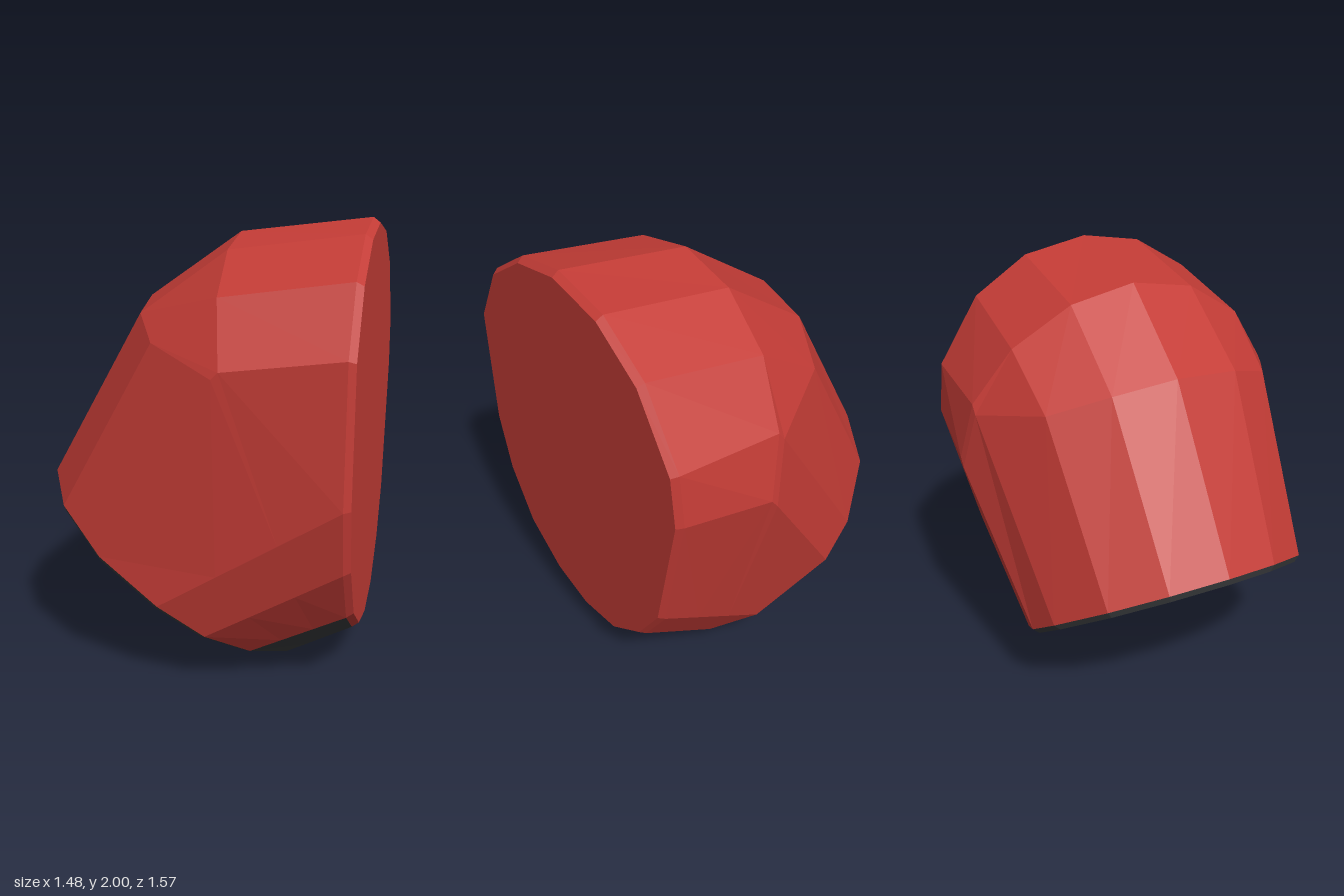
import * as THREE from 'three';

const V = (x, y, z) => new THREE.Vector3(x, y, z);
const N = 16;

// Rim outlines as [z, y], starting at the top and running over +z.
const SIDE_RIM = [
  [0.05, 2.0], [0.34, 1.945], [0.6, 1.78], [0.77, 1.5], [0.78, 0.9], [0.71, 0.61], [0.55, 0.355], [0.31, 0.2],
  [0.06, 0.145], [-0.2, 0.19], [-0.43, 0.355], [-0.59, 0.59], [-0.745, 1.23], [-0.72, 1.47], [-0.52, 1.78], [-0.26, 1.945],
];
const BASE_RIM = [
  [0.04, 0.86], [0.3, 0.83], [0.53, 0.74], [0.69, 0.58], [0.72, 0.39], [0.67, 0.25], [0.52, 0.13], [0.31, 0.04],
  [0.05, 0.0], [-0.2, 0.03], [-0.41, 0.1], [-0.56, 0.22], [-0.66, 0.46], [-0.62, 0.58], [-0.46, 0.74], [-0.23, 0.83],
];
// Outer bend: per rim index, the upper and lower knee points.
const KNEES = {
  0: [V(0.12, 1.93, 0.02), V(-0.31, 1.63, 0.01)],
  1: [V(0.13, 1.87, 0.32), V(-0.26, 1.59, 0.33)],
  2: [V(0.15, 1.7, 0.58), V(-0.14, 1.5, 0.56)],
  3: [V(0.2, 1.43, 0.76), V(0.17, 1.4, 0.76)],
  12: [V(0.3, 1.17, -0.785), V(0.27, 1.13, -0.785)],
  13: [V(0.23, 1.45, -0.73), V(0.2, 1.41, -0.73)],
  14: [V(0.17, 1.7, -0.55), V(-0.14, 1.5, -0.53)],
  15: [V(0.13, 1.87, -0.28), V(-0.27, 1.59, -0.28)],
};

// Shrinks a rim about its centre and pushes it outward to make a bevel.
const inset = (ring, centre, scale, push) =>
  ring.map((p) => p.clone().sub(centre).multiplyScalar(scale).add(centre).add(push));

// Adds the facets between two rings for rim segments from..to.
function strip(out, a, b, from = 0, to = N) {
  for (let i = from; i < to; i++) {
    const j = (i + 1) % N;
    out.push(a[i], b[i], a[j], a[j], b[i], b[j]);
  }
}

function cap(out, ring, centre, flip) {
  for (let i = 0; i < N; i++) {
    const j = (i + 1) % N;
    out.push(centre, ring[flip ? j : i], ring[flip ? i : j]);
  }
}

function facetMesh(name, points, color) {
  const geometry = new THREE.BufferGeometry().setFromPoints(points);
  geometry.computeVertexNormals();
  const mesh = new THREE.Mesh(geometry, new THREE.MeshStandardMaterial({ color, flatShading: true }));
  mesh.name = name;
  return mesh;
}

export function createModel() {
  const side = SIDE_RIM.map(([z, y]) => V(0.71, y, z));
  const base = BASE_RIM.map(([z, y]) => V(-0.74 + (0.86 - y) * 1.407, y, z));
  const knee = (k) => side.map((p, i) => (KNEES[i] ? KNEES[i][k] : p.clone().lerp(base[i], (k + 1) / 3)));
  const upper = knee(0);
  const lower = knee(1);

  const sideCentre = V(0.71, 1.07, 0.03);
  const sideFace = inset(side, sideCentre, 0.975, V(0.03, 0, 0));
  const baseCentre = V(-0.135, 0.43, 0.03);
  const basePush = V(-0.0143, -0.0205, 0);
  const baseFace = inset(base, baseCentre, 0.96, basePush);

  const rings = [side, upper, lower, base];
  const shell = [];
  const inner = [];

  // Flat side face and its bevel
  cap(shell, sideFace, V(0.74, 1.07, 0.03), false);
  strip(shell, sideFace, side);

  // Bent shell, with dark facets on the inside of the bend
  for (let r = 0; r < 3; r++) {
    strip(shell, rings[r], rings[r + 1], 0, 6);
    strip(inner, rings[r], rings[r + 1], 6, 10);
    strip(shell, rings[r], rings[r + 1], 10, N);
  }

  // Slanted dark base and its bevel
  const bottom = [];
  strip(bottom, base, baseFace);
  cap(bottom, baseFace, baseCentre.clone().add(basePush), true);

  const model = new THREE.Group();
  model.name = 'bentJoint';
  model.add(
    facetMesh('shell', shell, 0xc43c36),
    facetMesh('innerBend', inner, 0x3a3c3e),
    facetMesh('slantedBase', bottom, 0x3a3c3e),
  );
  return model;
}
